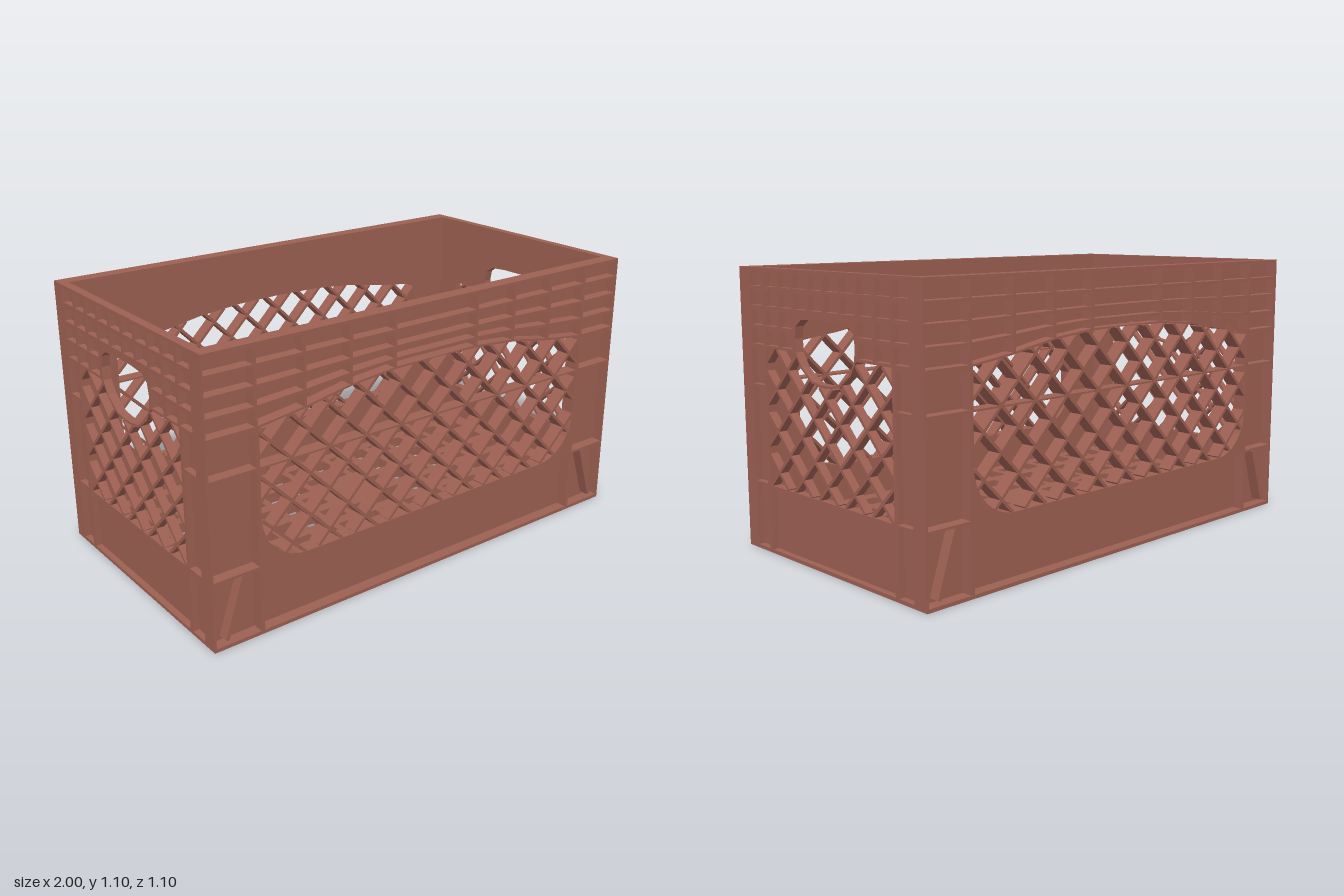
import * as THREE from 'three';

const plastic = new THREE.MeshStandardMaterial({ color: 0x9c5f52 });
plastic.name = 'brick red plastic';

const V = (x, y) => new THREE.Vector2(x, y);
const rect = (x0, x1, y0, y1) => [V(x0, y0), V(x1, y0), V(x1, y1), V(x0, y1)];

// Extruded plate with holes, spanning z0..z1
function plate(name, outline, holes, z0, z1) {
  const shape = new THREE.Shape(outline);
  holes.forEach(h => shape.holes.push(new THREE.Path(h)));
  const geo = new THREE.ExtrudeGeometry(shape, { depth: z1 - z0, bevelEnabled: false });
  geo.translate(0, 0, z0);
  const mesh = new THREE.Mesh(geo, plastic);
  mesh.name = name;
  return mesh;
}

// Straight rib between two points of a wall
function rib(name, a, b, width, z0, z1) {
  const mesh = new THREE.Mesh(new THREE.BoxGeometry(a.distanceTo(b), width, z1 - z0), plastic);
  mesh.position.set((a.x + b.x) / 2, (a.y + b.y) / 2, (z0 + z1) / 2);
  mesh.rotation.z = Math.atan2(b.y - a.y, b.x - a.x);
  mesh.name = name;
  return mesh;
}

// Diagonal ribs in both directions, clipped to a region
function lattice(inside, centreY, pitch, width, depth) {
  const group = new THREE.Group();
  group.name = 'lattice';
  const step = 0.004;
  for (const s of [-1, 1]) {
    for (let k = -9; k <= 9; k++) {
      let start = null;
      for (let x = -0.85; x <= 0.85; x += step) {
        const p = V(x, centreY + s * (x - k * pitch));
        const isIn = inside(p.x, p.y);
        if (isIn && !start) start = p;
        if (!isIn && start) {
          if (start.distanceTo(p) > 0.02) group.add(rib('latticeRib', start, p, width, 0.001, depth));
          start = null;
        }
      }
    }
  }
  return group;
}

// Arched lower edge of the long wall's top band
const archPoints = [0.882, 0.878, 0.86, 0.825, 0.8, 0.8];
function arch(x) {
  const t = Math.min(Math.abs(x) / 0.2, 4.999), i = Math.floor(t);
  return archPoints[i] + (archPoints[i + 1] - archPoints[i]) * (t - i);
}

// Height of the band's ribs: the lower ones follow the arch, the upper ones are straight
const archShare = [1, 0.5, 0.15, 0, 0];
const bandLevel = (x, row) => 0.8 + 0.0735 * row + (arch(x) - 0.8) * archShare[row];

function longWall() {
  const wall = new THREE.Group();
  const depth = 0.06, skin = 0.014;
  const outline = rect(-1, 1, 0, 1.1);

  // Window with rounded lower corners and arched top
  const opening = [];
  for (let i = 0; i <= 8; i++) {
    const a = Math.PI + (i / 8) * Math.PI / 2;
    opening.push(V(-0.6 + 0.19 * Math.cos(a), 0.46 + 0.19 * Math.sin(a)));
  }
  for (let i = 8; i >= 0; i--) opening.push(V(-opening[i].x, opening[i].y));
  for (const x of [0.79, 0.6, 0.4, 0.2, 0, -0.2, -0.4, -0.6, -0.79]) opening.push(V(x, arch(x) - 0.002));

  // Pockets between the outer ribs
  const pockets = [rect(-0.79, 0.79, 0.014, 0.262)];
  for (const s of [-1, 1]) {
    for (const [y0, y1] of [[0.014, 0.266], [0.276, 0.645], [0.655, 0.785]]) {
      pockets.push(rect(s * 0.805, s * 0.992, y0, y1));
    }
  }
  const columns = [-1, -0.8, -0.6, -0.4, -0.2, 0.2, 0.4, 0.6, 0.8, 1];
  for (let c = 0; c < 9; c++) {
    const x0 = columns[c] + 0.006, x1 = columns[c + 1] - 0.006;
    for (let r = 0; r < 4; r++) {
      pockets.push([V(x0, bandLevel(x0, r) + 0.006), V(x1, bandLevel(x1, r) + 0.006),
        V(x1, bandLevel(x1, r + 1) - 0.006), V(x0, bandLevel(x0, r + 1) - 0.006)]);
    }
  }
  wall.add(plate('wallSkin', outline, [opening], 0, skin));
  wall.add(plate('outerRibs', outline, [opening, ...pockets], skin, depth));

  const inside = (x, y) => {
    const ax = Math.abs(x);
    if (ax > 0.79 || y < 0.27 || y > arch(x)) return false;
    return !(ax > 0.6 && y < 0.46 && Math.hypot(ax - 0.6, y - 0.46) > 0.19);
  };
  wall.add(lattice(inside, 0.488, 0.165, 0.012, depth - 0.002));
  wall.add(rib('crossRib', V(-0.79, 0.65), V(0.79, 0.65), 0.007, 0.002, depth - 0.001));

  // Slanted corner gussets
  for (const s of [-1, 1]) {
    wall.add(rib('gusset', V(s * 0.868, 0.264), V(s * 0.945, 0.03), 0.014, skin, depth - 0.002));
  }
  return wall;
}

function endWall() {
  const wall = new THREE.Group();
  const depth = 0.035, skin = 0.01;
  const outline = rect(-0.492, 0.492, 0, 1.1);

  // Hand hold outline, upper half then lower half
  const upper = [V(0.178, 0.8), V(0.184, 0.85), V(0.175, 0.895), V(0.14, 0.92), V(0.06, 0.927)];
  const lower = [V(0.03, 0.697), V(0.08, 0.705), V(0.145, 0.75)];
  const mirror = pts => pts.slice().reverse().map(p => V(-p.x, p.y));
  const handle = [...lower, ...upper, ...mirror(upper), ...mirror(lower)];
  const opening = [V(-0.385, 0.27), V(0.385, 0.27), V(0.385, 0.8), ...upper, ...mirror(upper), V(-0.385, 0.8)];

  const pockets = [rect(-0.383, 0.383, 0.014, 0.264)];
  for (const s of [-1, 1]) {
    for (const [y0, y1] of [[0.014, 0.264], [0.272, 0.646], [0.655, 0.792]]) {
      pockets.push(rect(s * 0.403, s * 0.484, y0, y1));
    }
    for (let r = 0; r < 4; r++) {
      for (let c = r < 2 ? 2 : 0; c < 5; c++) {
        const x = s * (0.048 + 0.0968 * c), y = 0.81 + 0.0735 * r;
        pockets.push(rect(x - 0.041, x + 0.041, y, y + 0.056));
      }
    }
  }
  wall.add(plate('wallSkin', outline, [opening], 0, skin));
  wall.add(plate('outerRibs', outline, [opening, ...pockets], skin, depth));
  const rim = handle.map(p => V(p.x * 1.05, 0.81 + (p.y - 0.81) * 1.08));
  wall.add(plate('handHoldRim', rim, [handle], 0.001, depth - 0.001));

  // Even-odd test keeps the lattice out of the hand hold
  const inHandle = (x, y) => {
    let hit = false;
    rim.forEach((p, i) => {
      const q = rim[(i + 1) % rim.length];
      if ((p.y > y) !== (q.y > y) && x < p.x + (q.x - p.x) * (y - p.y) / (q.y - p.y)) hit = !hit;
    });
    return hit;
  };
  const inside = (x, y) => Math.abs(x) < 0.385 && y > 0.27 && y < 0.8 && !inHandle(x, y);
  wall.add(lattice(inside, 0.488, 0.16, 0.012, depth - 0.001));
  return wall;
}

// Floor raised above the lower edge of the walls
const floorY = 0.07, floorThickness = 0.045;

function floorGrid() {
  const holes = [];
  for (let c = 0; c < 16; c++) {
    for (let r = 0; r < 7; r++) {
      const x = (c - 7.5) * 0.1133, z = (r - 3) * 0.131;
      holes.push(rect(x - 0.041, x + 0.041, z - 0.042, z + 0.042));
    }
  }
  const mesh = plate('floorGrid', rect(-0.97, 0.97, -0.495, 0.495), holes, 0, floorThickness);
  mesh.rotation.x = -Math.PI / 2;
  mesh.position.y = floorY;
  return mesh;
}

export function createModel() {
  const crate = new THREE.Group();
  crate.name = 'crate';
  const place = (wall, name, angle, distance) => {
    wall.name = name;
    wall.rotation.y = angle;
    wall.position.set(Math.sin(angle) * distance, 0, Math.cos(angle) * distance);
    crate.add(wall);
  };
  place(longWall(), 'frontWall', 0, 0.49);
  place(longWall(), 'backWall', Math.PI, 0.49);
  place(endWall(), 'leftWall', Math.PI / 2, 0.965);
  place(endWall(), 'rightWall', -Math.PI / 2, 0.965);

  crate.add(floorGrid());
  // Solid pad in the middle of the floor
  const pad = new THREE.Mesh(new THREE.BoxGeometry(0.25, floorThickness, 0.25), plastic);
  pad.position.y = floorY + floorThickness / 2;
  pad.name = 'floorPad';
  crate.add(pad);
  return crate;
}
